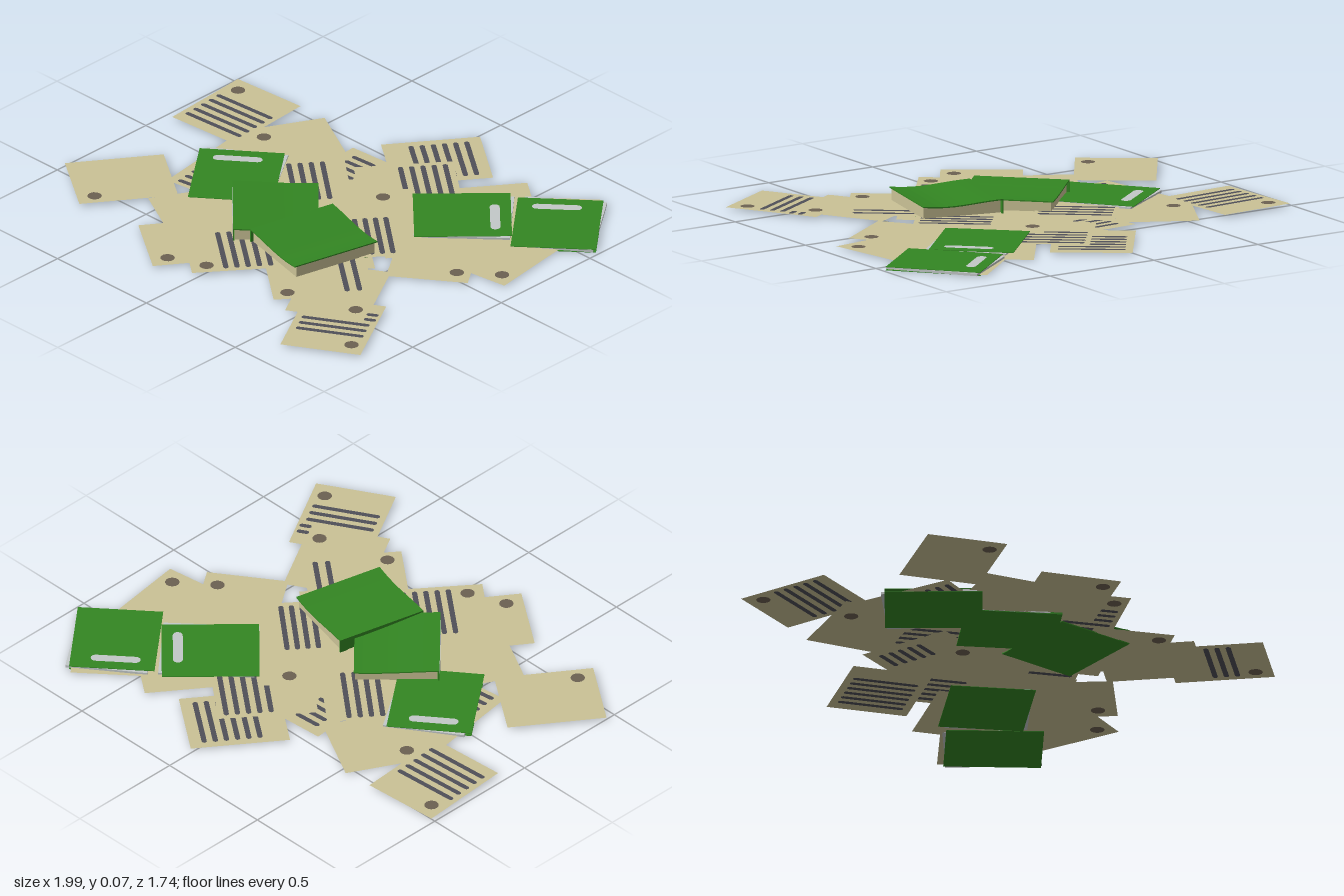
import * as THREE from 'three';

const mat = (name, color) => {
  const m = new THREE.MeshStandardMaterial({ color, side: THREE.DoubleSide });
  m.name = name;
  return m;
};
const W = 0.33, D = 0.4; // common sheet size

export function createModel() {
  const root = new THREE.Group();
  root.name = 'scatteredPapersAndBooks';
  const paper = mat('paper tan', 0xcac296);
  const green = mat('cover green', 0x338622);
  const ink = mat('ink grey', 0x505058);
  const stamp = mat('stamp brown', 0x6c6152);
  const grey = mat('label grey', 0xc3c8c8);

  const add = (parent, geo, m, name, x = 0, y = 0, z = 0) => {
    const mesh = new THREE.Mesh(geo, m);
    mesh.name = name;
    mesh.position.set(x, y, z);
    parent.add(mesh);
    return mesh;
  };
  const place = (name, x, y, z, deg) => {
    const g = new THREE.Group();
    g.name = name;
    g.position.set(x, y, z);
    g.rotation.y = THREE.MathUtils.degToRad(deg);
    root.add(g);
    return g;
  };
  const flat = (geo) => geo.rotateX(-Math.PI / 2);
  const sheetGeo = flat(new THREE.PlaneGeometry(W, D));
  const stampGeo = flat(new THREE.CircleGeometry(0.029, 14));

  // Strip with rounded ends lying along x
  const strip = (len, wid) => {
    const s = new THREE.Shape(), a = len / 2 - wid / 2, r = wid / 2;
    s.absarc(a, 0, r, -Math.PI / 2, Math.PI / 2);
    s.absarc(-a, 0, r, Math.PI / 2, Math.PI * 1.5);
    return flat(new THREE.ShapeGeometry(s, 4));
  };

  // Loose sheets, lowest first: x, z, angle, stamps [x, z], rows [count, z, step, length, x]
  const sheets = [
    { x: 0.20, z: 0.22, a: -38 },
    { x: 0.42, z: -0.18, a: -38 },
    { x: -0.10, z: 0.15, a: -30 },
    { x: 0.716, z: -0.60, a: 41 },
    { x: 0.727, z: -0.275, a: 8, stamps: [[0.85, -0.155]] },
    { x: 0.55, z: -0.08, a: 35, stamps: [[0.71, -0.04]] },
    { x: 0.42, z: -0.485, a: -36 },
    { x: -0.49, z: 0.035, a: 8, rows: [3, 0.08, 0.045, 0.26, 0] },
    { x: -0.48, z: -0.285, a: -28, stamps: [[-0.595, -0.26]] },
    { x: -0.105, z: -0.262, a: 4, stamps: [[-0.05, -0.125]], rows: [5, -0.145, 0.045, 0.12, -0.06] },
    { x: 0.03, z: -0.61, a: -36, rows: [6, -0.14, 0.045, 0.27, 0] },
    { x: 0.083, z: -0.395, a: -38, rows: [5, -0.165, 0.045, 0.29, 0] },
    { x: 0.125, z: -0.13, a: -38, stamps: [[0.08, -0.255]] },
    { x: -0.335, z: 0.315, a: -28 },
    { x: -0.20, z: 0.525, a: -35, stamps: [[-0.185, 0.695]] },
    { x: 0.485, z: 0.405, a: 30 },
    { x: 0.345, z: 0.375, a: -38, stamps: [[0.35, 0.555]], rows: [2, -0.15, 0.05, 0.27, 0] },
    { x: 0.665, z: 0.612, a: 30, stamps: [[0.825, 0.67], [0.64, 0.46]], rows: [3, -0.035, 0.045, 0.28, 0] },
    { x: -0.035, z: 0.455, a: -38, stamps: [[-0.03, 0.63]], rows: [5, -0.12, 0.045, 0.29, 0] },
    { x: -0.24, z: -0.10, a: -39, rows: [4, -0.11, 0.045, 0.3, 0] },
    { x: 0.27, z: 0.005, a: -39, rows: [4, -0.075, 0.042, 0.29, 0] },
    { x: -0.81, z: -0.32, a: 4, stamps: [[-0.925, -0.445]], rows: [5, -0.05, 0.047, 0.29, 0] },
    { x: -0.753, z: 0.385, a: -35, stamps: [[-0.735, 0.555]] },
  ];
  sheets.forEach(({ x, z, a, stamps = [], rows }, i) => {
    const g = place('looseSheet', x, 0.0025 + i * 0.0004, z, a);
    const t = g.rotation.y, c = Math.cos(t), s = Math.sin(t);
    add(g, sheetGeo, paper, 'sheet');
    // Print shows on both faces of a sheet
    for (const y of [0.0002, -0.0002]) {
      for (const [sx, sz] of stamps) {
        const dx = sx - x, dz = sz - z;
        add(g, stampGeo, stamp, 'stamp', dx * c - dz * s, y, dx * s + dz * c);
      }
      if (!rows) continue;
      const lineGeo = strip(rows[3], 0.021);
      for (let k = 0; k < rows[0]; k++)
        add(g, lineGeo, ink, 'printedLine', rows[4], y, rows[1] + k * rows[2]);
    }
  });
  // Two short marks on the front right sheet
  const marks = place('shortMarks', 0.665, 0.0096, 0.612, 30);
  for (const z of [-0.12, -0.08]) add(marks, strip(0.05, 0.021), ink, 'shortMark', 0.13, 0, z);

  // Thin folders: two covers, a slightly turned filling, and a label strip
  const folder = (x, z, deg, labelX, labelZ) => {
    const g = place('folder', x, 0, z, deg);
    const cover = new THREE.BoxGeometry(0.342, 0.002, 0.39);
    add(g, cover, green, 'backCover', 0, 0.001, 0);
    add(g, cover, green, 'frontCover', 0, 0.0138, 0);
    const fill = add(g, new THREE.BoxGeometry(0.33, 0.0104, 0.385), grey, 'filling', 0.008, 0.0074, -0.006);
    fill.rotation.y = -0.07;
    add(g, strip(0.2, 0.04), grey, 'label', labelX, 0.0152, labelZ);
  };
  folder(-0.448, 0.043, 38, -0.01, -0.13);
  folder(0.413, -0.369, -44, 0.02, -0.13);
  folder(0.729, -0.586, 40.5, -0.01, -0.13);

  // Slab whose top (and optionally bottom) follows a height rule across x
  const slab = (w, d, x0, top, bottom) => {
    const geo = new THREE.BoxGeometry(w, 1, d, 10, 1, 1).toNonIndexed();
    const p = geo.attributes.position;
    for (let i = 0; i < p.count; i++) {
      const x = p.getX(i) + x0;
      p.setXYZ(i, x, p.getY(i) > 0 ? top(x) : bottom(x), p.getZ(i));
    }
    geo.computeVertexNormals();
    return geo;
  };

  // Thick books: spine at -x, sagging front cover, page block inside
  const book = (x, z, deg, spineY, sag, edgeY) => {
    const g = place('book', x, 0, z, deg), w = 0.342, d = 0.386;
    const top = (u) => {
      const k = u / w + 0.5;
      return spineY + (edgeY - spineY) * k - sag * Math.sin(Math.PI * k) * k;
    };
    add(g, slab(w, d, 0, top, (u) => top(u) - 0.005), green, 'frontCover');
    add(g, slab(w, d, 0, () => 0.005, () => 0), green, 'backCover');
    add(g, slab(w - 0.014, d - 0.02, 0.002, (u) => top(u) - 0.005, () => 0.005), paper, 'pageBlock');
    add(g, new THREE.BoxGeometry(0.006, spineY - 0.002, d), green, 'spine', -w / 2 + 0.003, (spineY - 0.002) / 2, 0);
    return g;
  };
  const lower = book(-0.11, 0.16, 45, 0.064, 0.006, 0.052);
  add(lower, new THREE.BoxGeometry(0.003, 0.058, 0.29), grey, 'spineLabel', -0.1715, 0.032, 0);
  book(0.169, 0.225, -13.6, 0.067, 0.017, 0.062);

  return root;
}
